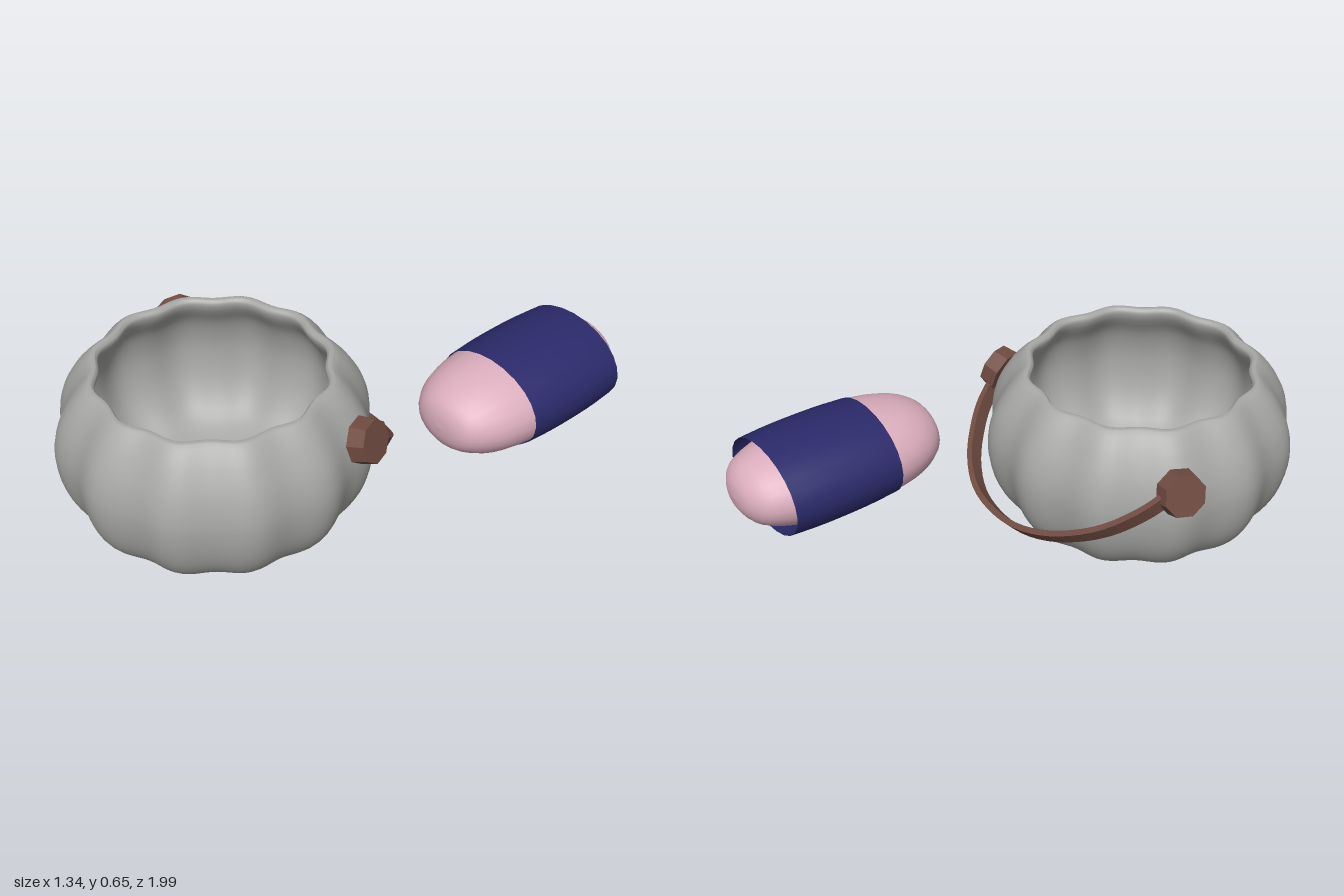
import * as THREE from 'three';

const mat = (name, color, extra = {}) => new THREE.MeshStandardMaterial({ name, color, ...extra });

// Smooth profile through a few [radius, height] points
function profile(points, count) {
  const curve = new THREE.CatmullRomCurve3(points.map(([r, y]) => new THREE.Vector3(r, y, 0)), false, 'centripetal');
  return curve.getPoints(count).map(p => new THREE.Vector2(Math.max(p.x, 0), p.y));
}

function addMesh(parent, name, geometry, material) {
  const mesh = new THREE.Mesh(geometry, material);
  mesh.name = name;
  parent.add(mesh);
  return mesh;
}

// Turned pot whose radius is rippled into lobes
function potGeometry() {
  const outer = profile([[0, 0.003], [0.2, 0.008], [0.34, 0.03], [0.45, 0.09], [0.525, 0.2], [0.558, 0.36],
    [0.54, 0.48], [0.49, 0.58], [0.445, 0.635], [0.425, 0.65]], 36);
  const inner = profile([[0.412, 0.65], [0.402, 0.635], [0.412, 0.6], [0.475, 0.5], [0.505, 0.37], [0.48, 0.22],
    [0.4, 0.11], [0.25, 0.06], [0, 0.045]], 32);
  const geo = new THREE.LatheGeometry([...outer, ...inner], 120, THREE.MathUtils.degToRad(105));
  const pos = geo.attributes.position;
  for (let i = 0; i < pos.count; i++) {
    const angle = Math.atan2(pos.getX(i), pos.getZ(i));
    const k = 1 + 0.024 * Math.cos(12 * (angle - 0.09));
    pos.setX(i, pos.getX(i) * k);
    pos.setZ(i, pos.getZ(i) * k);
  }
  geo.computeVertexNormals();
  return geo;
}

// Flat strap: a thin curved outline extruded across its width
function strapGeometry() {
  const pivot = new THREE.Vector3(0, 0.48, 0.155);
  const along = new THREE.Vector3(0, 0.669, 0.743);
  const path = new THREE.SplineCurve([[0.4, 0.14], [0.38, 0.06], [0.335, -0.01], [0.25, -0.09], [0.13, -0.148],
    [-0.02, -0.168], [-0.17, -0.155], [-0.32, -0.105], [-0.46, -0.02], [-0.56, 0.09], [-0.6, 0.18]]
    .map(([x, z]) => new THREE.Vector2(x, (z - pivot.z) / along.z)));
  const side = offset => Array.from({ length: 41 }, (_, i) => {
    const p = path.getPoint(i / 40), t = path.getTangent(i / 40);
    return new THREE.Vector2(p.x - t.y * offset, p.y + t.x * offset);
  });
  const outline = new THREE.Shape([...side(0.011), ...side(-0.011).reverse()]);
  const geo = new THREE.ExtrudeGeometry(outline, { depth: 0.062, bevelEnabled: false });
  geo.translate(0, 0, -0.031);
  const xAxis = new THREE.Vector3(1, 0, 0);
  const basis = new THREE.Matrix4().makeBasis(xAxis, along, xAxis.clone().cross(along).normalize());
  return geo.applyMatrix4(basis.setPosition(pivot));
}

// Oval turned shape lying along z
function ovalGeometry(points) {
  const geo = new THREE.LatheGeometry(points, 24);
  geo.rotateX(Math.PI / 2);
  geo.scale(1, 0.725, 1);
  return geo;
}

export function createModel() {
  const grey = mat('pot grey', 0xa8a8a6);
  const brown = mat('strap brown', 0x704c42, { flatShading: true });
  const pink = mat('soft pink', 0xdcaebe);
  const navy = mat('navy blue', 0x2b2a6b, { side: THREE.DoubleSide });

  const model = new THREE.Group();
  model.name = 'potAndSleevedBar';

  // Lobed pot
  addMesh(model, 'pot', potGeometry(), grey).position.set(-0.09, 0, 0.425);

  // Dropped handle and its eight-sided buttons
  const handle = new THREE.Group();
  handle.name = 'handle';
  model.add(handle);
  addMesh(handle, 'strap', strapGeometry(), brown);
  const buttons = [
    ['leftButton', [0.418, 0.48, 0.155], [1, 0.3, -0.3]],
    ['rightButton', [-0.612, 0.48, 0.185], [-1, 0.3, -0.27]],
  ];
  for (const [name, at, facing] of buttons) {
    const button = addMesh(handle, name, new THREE.CylinderGeometry(0.08, 0.088, 0.065, 8), brown);
    button.position.set(...at);
    button.quaternion.setFromUnitVectors(new THREE.Vector3(0, 1, 0), new THREE.Vector3(...facing).normalize());
  }

  // Rounded pink bar inside an open navy sleeve
  const bar = new THREE.Group();
  bar.name = 'sleevedBar';
  bar.position.set(0.425, 0.365, 0);
  model.add(bar);
  const core = profile([[0, -1], [0.075, -0.99], [0.145, -0.95], [0.186, -0.88], [0.21, -0.8], [0.23, -0.66],
    [0.229, -0.44], [0.195, -0.3], [0.135, -0.215], [0.075, -0.188], [0, -0.18]], 32);
  addMesh(bar, 'core', ovalGeometry(core), pink);
  const sleeve = profile([[0.234, -0.88], [0.242, -0.77], [0.244, -0.66], [0.242, -0.55], [0.234, -0.44]], 10);
  addMesh(bar, 'sleeve', ovalGeometry(sleeve), navy);

  return model;
}
